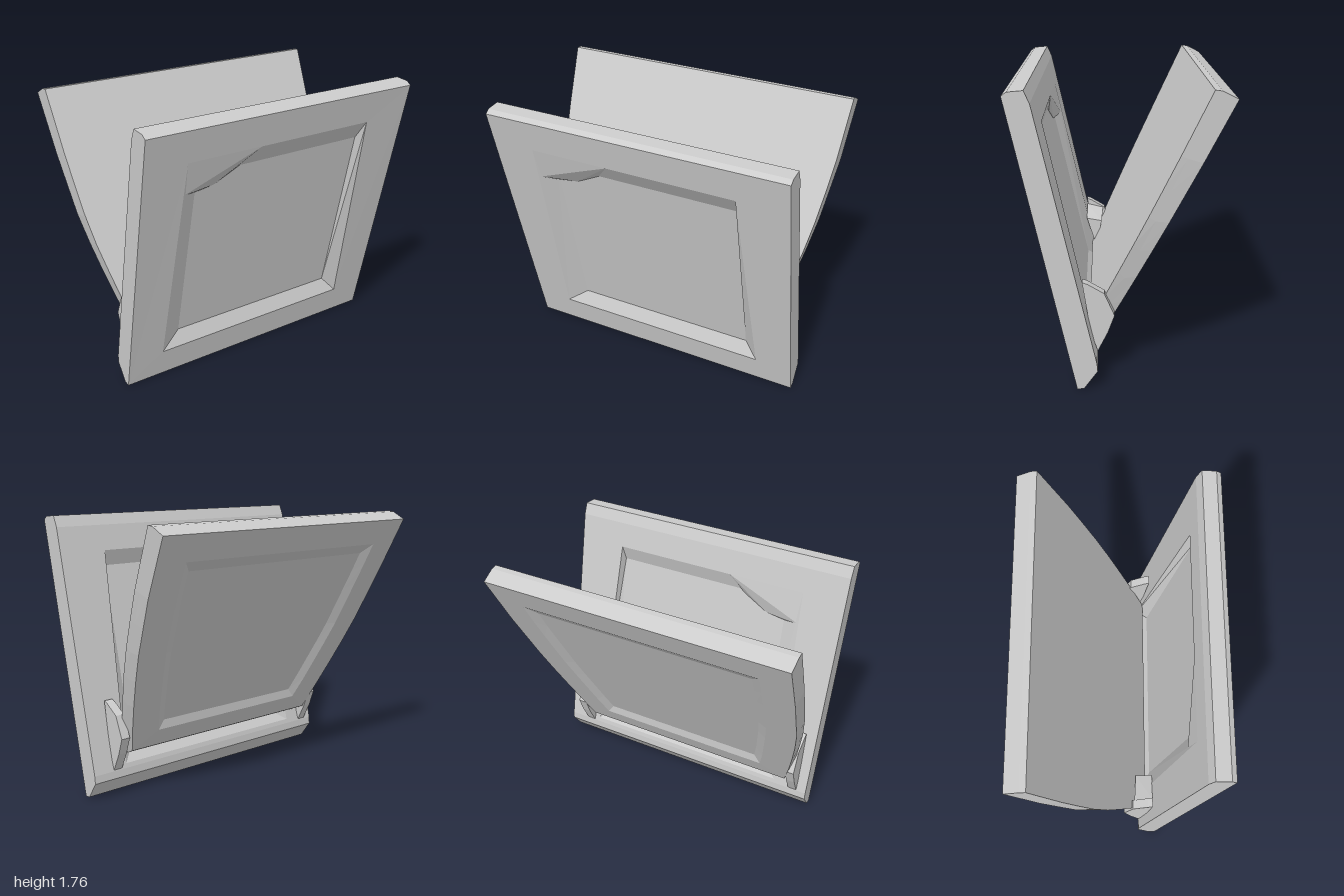
import * as THREE from 'three';
import { ConvexGeometry } from 'three/addons/geometries/ConvexGeometry.js';

const material = new THREE.MeshStandardMaterial({ color: 0xcccccc, flatShading: true });

const lerp = (a, b, t) => a + (b - a) * t;

// Piecewise linear lookup through [y, value] pairs in rising y.
function through(pairs) {
  return (y) => {
    let i = 0;
    while (i < pairs.length - 2 && y > pairs[i + 1][0]) i++;
    const [a, b] = [pairs[i], pairs[i + 1]];
    return lerp(a[1], b[1], (y - a[0]) / (b[0] - a[0]));
  };
}

// Closed outline, anticlockwise from the front: up the right side, down the left.
function outline(rows, [y0, z0], [y1, z1], left, right) {
  const rightSide = [], leftSide = [];
  for (let i = 0; i <= rows; i++) {
    const t = i / rows, y = lerp(y0, y1, t), z = lerp(z0, z1, t);
    rightSide.push([right(y), y, z]);
    leftSide.unshift([left(y), y, z]);
  }
  return [...rightSide, ...leftSide];
}

// Skins outlines from the front to the back and closes both ends.
function skin(loops) {
  const pos = [];
  const quad = (a, b, c, d) => pos.push(...a, ...b, ...c, ...a, ...c, ...d);
  const n = loops[0].length;
  for (let k = 0; k < loops.length - 1; k++) {
    const a = loops[k], b = loops[k + 1];
    for (let i = 0; i < n; i++) {
      const j = (i + 1) % n;
      quad(a[i], b[i], b[j], a[j]);
    }
  }
  const first = loops[0], last = loops[loops.length - 1];
  for (let i = 0; i < n / 2 - 1; i++) {
    const l = n - 1 - i;
    quad(first[l], first[i], first[i + 1], first[l - 1]);
    quad(last[i], last[l], last[l - 1], last[i + 1]);
  }
  const geometry = new THREE.BufferGeometry();
  geometry.setAttribute('position', new THREE.Float32BufferAttribute(pos, 3));
  geometry.computeVertexNormals();
  return geometry;
}

const hull = (points) => new ConvexGeometry(points.map((p) => new THREE.Vector3(...p)));

export function createModel() {
  const group = new THREE.Group();
  const add = (name, geometry) => {
    const mesh = new THREE.Mesh(geometry, material);
    mesh.name = name;
    group.add(mesh);
  };

  // Front frame: leaning slab with a bevelled recess on both faces
  const frontZ = (y, depth = 0) => 0.25 + 0.218 * y - depth;
  const backZ = (y, depth = 0) => 0.096 + 0.225 * y + depth;
  const outerL = through([[0, -0.925], [1.77, -0.945]]);
  const outerR = () => 0.99;
  const ring = (bottom, top, l = outerL, r = outerR) => outline(1, bottom, top, l, r);
  const innerL = () => -0.55, innerR = () => 0.66;
  const openL = through([[0.19, -0.69], [1.54, -0.66]]);
  const openR = through([[0.19, 0.75], [1.54, 0.67]]);
  add('frontFrame', skin([
    ring([0.29, frontZ(0.29, 0.06)], [1.42, frontZ(1.42, 0.06)], innerL, innerR),
    ring([0.19, frontZ(0.19)], [1.54, frontZ(1.54)], openL, openR),
    ring([0.005, 0.25], [1.74, 0.63]),
    ring([0.01, 0.21], [1.762, 0.6]),
    ring([0.12, 0.13], [1.77, 0.51]),
    ring([0.17, backZ(0.17)], [1.7, backZ(1.7)]),
    ring([0.2, backZ(0.2)], [1.54, backZ(1.54)], openL, openR),
    ring([0.29, backZ(0.29, 0.05)], [1.44, backZ(1.44, 0.05)], innerL, innerR),
  ]));

  // Sloping filler in the upper corner of the recess
  const corner = [];
  for (const [x, y, d] of [[-0.67, 1.54, 0], [-0.15, 1.54, 0], [-0.66, 1.33, 0.01],
    [-0.25, 1.42, 0.06], [-0.42, 1.33, 0.06], [-0.55, 1.31, 0.06]]) {
    corner.push([x, y, frontZ(y, d)], [x, y, backZ(y, d * 0.8)]);
  }
  add('cornerFiller', hull(corner));

  // Rear panel: leans backward, narrows in a curve toward the hinge
  const edgeL = through([[0.28, -0.78], [0.56, -0.86], [0.95, -0.945], [1.36, -0.98], [1.77, -1]]);
  const edgeR = through([[0.28, 0.74], [0.56, 0.82], [0.95, 0.91], [1.36, 0.965], [1.77, 0.99]]);
  const panelRing = (bottom, top, inset = 0) =>
    outline(8, bottom, top, (y) => edgeL(y) + inset, (y) => edgeR(y) - inset);
  const rearZ = (y, depth = 0) => 0.222 - 0.495 * y + depth;
  add('rearPanel', skin([
    panelRing([0.32, 0.18], [1.77, -0.5]),
    panelRing([0.27, 0.14], [1.765, -0.54]),
    panelRing([0.3, 0.075], [1.72, -0.63]),
    panelRing([0.42, rearZ(0.42)], [1.56, rearZ(1.56)], 0.2),
    panelRing([0.48, rearZ(0.48, 0.03)], [1.5, rearZ(1.5, 0.03)], 0.26),
  ]));

  // Hinge tabs joining the two panels
  const tabProfile = [[0.22, 0.62], [0.19, 0.61], [0.09, 0.55], [0.03, 0.41], [0.07, 0.3], [0.13, 0.18], [0.17, 0.3]];
  for (const [name, x] of [['rightHingeTab', -0.83], ['leftHingeTab', 0.82]]) {
    add(name, hull(tabProfile.flatMap(([z, y]) => [[x - 0.03, y, z], [x + 0.03, y, z]])));
  }

  // Gusset beside the right hinge tab
  add('hingeGusset', hull([
    [-0.8, 0.58, 0.22], [-0.62, 0.52, 0.22], [-0.8, 0.55, 0.1],
    [-0.62, 0.5, 0.11], [-0.8, 0.3, 0.15], [-0.62, 0.3, 0.15],
  ]));

  return group;
}
